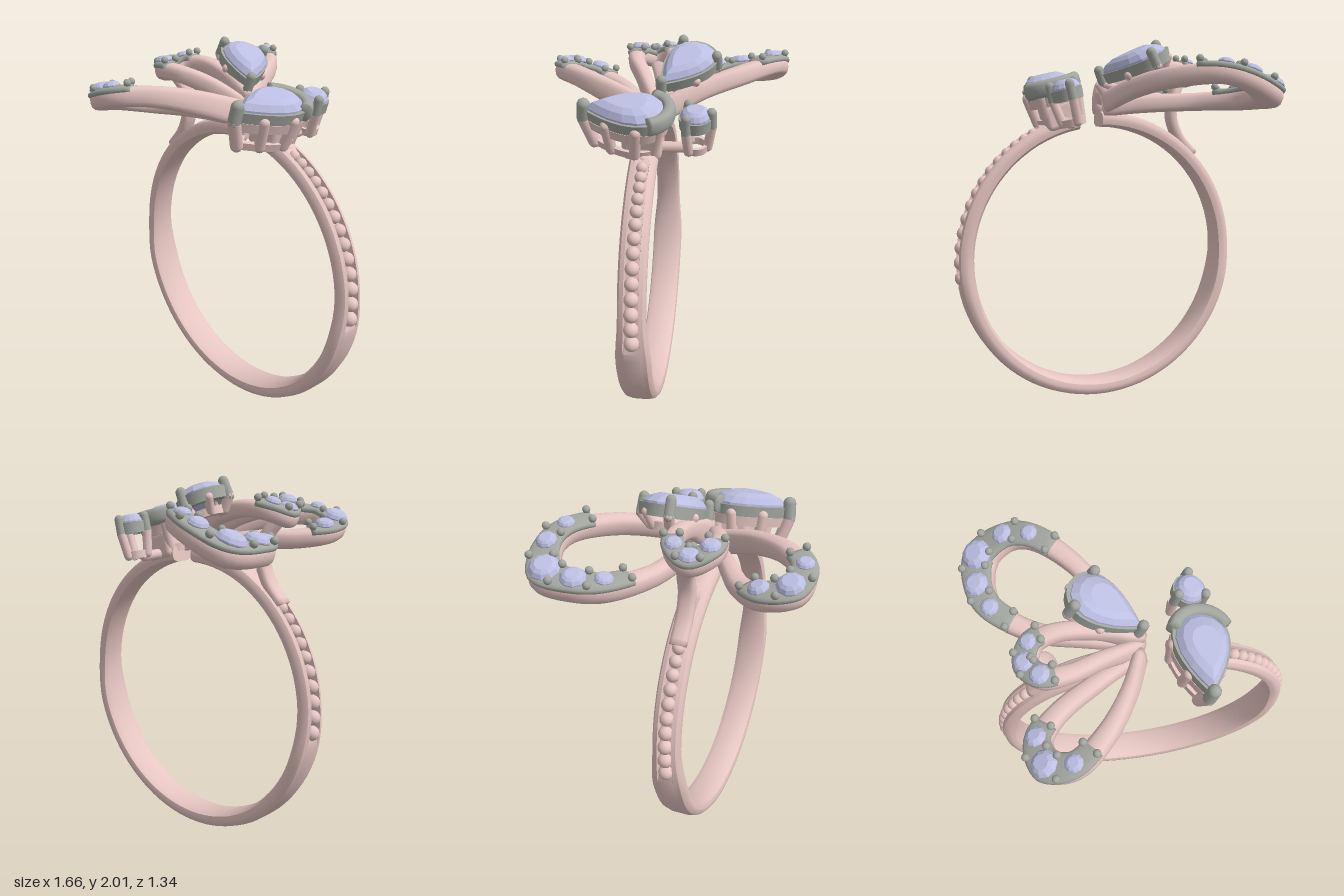
import * as THREE from 'three';
import { toCreasedNormals } from 'three/addons/utils/BufferGeometryUtils.js';
import { RoundedBoxGeometry } from 'three/addons/geometries/RoundedBoxGeometry.js';

const V = (x, y, z) => new THREE.Vector3(x, y, z);
const rose = new THREE.MeshStandardMaterial({ color: 0xe6c6c2 });
const grey = new THREE.MeshStandardMaterial({ color: 0xa3a69f });
const lilac = new THREE.MeshStandardMaterial({ color: 0xbcbfe2, flatShading: true });

function add(parent, name, geo, mat, pos) {
  const m = new THREE.Mesh(geo, mat);
  m.name = name;
  if (pos) m.position.copy(pos);
  parent.add(m);
  return m;
}

// Skin a list of equal-length vertex rings
function loft(rings, caps = true, crease = 0) {
  const n = rings[0].length, pts = rings.flat(), idx = [];
  for (let i = 0; i + 1 < rings.length; i++)
    for (let j = 0; j < n; j++) {
      const a = i * n + j, b = i * n + (j + 1) % n;
      idx.push(a, b, b + n, a, b + n, a + n);
    }
  if (caps) [0, rings.length - 1].forEach((r, end) => {
    const c = pts.length;
    pts.push(rings[r].reduce((s, p) => s.add(p), V(0, 0, 0)).divideScalar(n));
    for (let j = 0; j < n; j++) {
      const a = r * n + j, b = r * n + (j + 1) % n;
      end ? idx.push(c, a, b) : idx.push(c, b, a);
    }
  });
  const g = new THREE.BufferGeometry().setFromPoints(pts);
  g.setIndex(idx);
  g.computeVertexNormals();
  return crease ? toCreasedNormals(g, crease) : g;
}

// Side and normal directions on a curve
function frame(curve, t, up) {
  const T = curve.getTangent(t), S = up.clone().cross(T).normalize();
  return { P: curve.getPoint(t), S, N: T.clone().cross(S) };
}

// Rounded-box section swept along a curve; size(t) gives [halfWidth, halfHeight, lift]
function sweep(curve, up, size, t0 = 0, t1 = 1, steps = 48) {
  const rings = [], pw = v => Math.sign(v) * Math.abs(v) ** 0.75;
  for (let i = 0; i <= steps; i++) {
    const t = t0 + (t1 - t0) * i / steps, { P, S, N } = frame(curve, t, up), [w, h, o] = size(t);
    rings.push(Array.from({ length: 16 }, (_, j) => {
      const a = j * Math.PI / 8;
      return P.clone().addScaledVector(S, w * pw(Math.cos(a))).addScaledVector(N, h * pw(Math.sin(a)) + o);
    }));
  }
  return loft(rings);
}

// Stone outlines; the pear points along +z at a = 0
const round = r => a => [r * Math.sin(a), r * Math.cos(a)];
const pear = (w, l) => a => [w / 0.77 * Math.sin(a) * Math.abs(Math.sin(a / 2)), l * Math.cos(a)];
const outlineRing = (f, s, y, n) => Array.from({ length: n }, (_, j) => {
  const [x, z] = f(j * 2 * Math.PI / n);
  return V(x * s, y, z * s);
});
const gem = (f, h, n) => loft([[0.1, -h * 1.2], [0.7, -h * 0.6], [1, -h * 0.1], [1, 0.1 * h], [0.82, h * 0.65], [0.55, h]]
  .map(([s, y]) => outlineRing(f, s, y, n)));
const collar = (f, s0, s1, y0, y1) => loft([[s1 * 0.96, y0], [s1, y1], [s0, y1], [s0 * 0.96, y0], [s1 * 0.96, y0]]
  .map(([s, y]) => outlineRing(f, s, y, 32)), false, 0.7);

function bar(parent, name, a, b, r, mat) {
  const m = add(parent, name, new THREE.CapsuleGeometry(r, a.distanceTo(b), 4, 10), mat, a.clone().lerp(b, 0.5));
  m.quaternion.setFromUnitVectors(V(0, 1, 0), b.clone().sub(a).normalize());
}

// Gem in a collar over an open gallery of posts, held by prongs
function setting(root, name, pos, normal, tip, f, { h, depth, posts, prongs, r, lower = 0.8 }) {
  const g = new THREE.Group();
  g.name = name;
  g.position.copy(pos);
  const y = normal.clone().normalize(), x = y.clone().cross(tip).normalize();
  g.quaternion.setFromRotationMatrix(new THREE.Matrix4().makeBasis(x, y, x.clone().cross(y)));
  root.add(g);
  add(g, 'gem', gem(f, h, 16), lilac);
  add(g, 'collar', collar(f, 0.88, 1.1, -0.065, -0.005), grey);
  add(g, 'galleryRail', collar(f, lower * 0.72, lower, -depth, -depth + 0.04), rose);
  const at = (a, s, py) => { const [px, pz] = f(a); return V(px * s, py, pz * s); };
  for (const a of posts) bar(g, 'galleryPost', at(a, lower * 0.9, -depth + 0.02), at(a, 1, -0.05), r * 0.85, rose);
  for (const a of prongs) {
    bar(g, 'prongPost', at(a, lower * 0.95, -depth + 0.02), at(a, 1.08, -0.06), r, rose);
    bar(g, 'prong', at(a, 1.08, -0.06), at(a, 1.05, 0.02), r, grey);
  }
  return g;
}

// Petal loop: rows of [x, y, z, halfWidth, halfHeight, stoneRadius]
function petal(root, name, up, rows) {
  const g = new THREE.Group();
  g.name = name;
  root.add(g);
  up.normalize();
  const n = rows.length - 1;
  const curve = new THREE.CatmullRomCurve3(rows.map(r => V(r[0], r[1], r[2])));
  const size = t => {
    const i = Math.min(n - 1, Math.floor(t * n)), k = t * n - i;
    return [3, 4].map(c => rows[i][c] * (1 - k) + rows[i + 1][c] * k);
  };
  add(g, 'petalLoop', sweep(curve, up, t => [...size(t), 0], 0, 1, 64), rose);
  const set = rows.map((r, i) => i).filter(i => rows[i][5]);
  const t0 = (set[0] - 0.55) / n, t1 = (set.at(-1) + 0.55) / n;
  add(g, 'stoneBed', sweep(curve, up, t => { const [w, h] = size(t); return [w + 0.004, 0.022, h - 0.012]; }, t0, t1, 32), grey);
  for (const i of set) {
    const { P, S, N } = frame(curve, i / n, up), r = rows[i][5];
    const m = add(g, 'smallStone', gem(round(r), r * 0.45, 10), lilac, P.addScaledVector(N, rows[i][4] + 0.012));
    m.quaternion.setFromRotationMatrix(new THREE.Matrix4().makeBasis(S, N, S.clone().cross(N)));
  }
  // bead grips between neighbouring stones
  for (let i = set[0] - 0.5; i <= set.at(-1) + 0.5; i++) {
    const { P, S, N } = frame(curve, i / n, up), [w, h] = size(i / n);
    for (const s of [-1, 1])
      add(g, 'beadGrip', new THREE.SphereGeometry(0.02, 10, 8), grey,
        P.clone().addScaledVector(S, s * w * 0.78).addScaledVector(N, h + 0.02));
  }
}

export function createModel() {
  const root = new THREE.Group();
  root.name = 'ring';
  const CY = 0.815, R = 0.812, CZ = 0.042, deg = Math.PI / 180;
  const smooth = THREE.MathUtils.smoothstep;

  // Open band, grooved on the upper shoulders
  const rings = [];
  for (let i = 0; i <= 90; i++) {
    const th = (90 + 350 * i / 90) * deg, s = Math.sin(th), c = Math.cos(th);
    const w = 0.092 - 0.02 * smooth(s, -0.3, 0.1);
    const g = 0.035 * smooth(s, -0.15, -0.08) * (1 - smooth(s, 0.85, 0.9));
    const sec = [[-0.6, 0.728], [0.6, 0.728], [0.93, 0.742], [1, 0.765], [0.97, 0.785], [0.8, 0.803], [0.52, R - 0.003],
      [0.45, R - g], [-0.45, R - g], [-0.52, R - 0.003], [-0.8, 0.803], [-0.97, 0.785], [-1, 0.765], [-0.93, 0.742]];
    rings.push(sec.map(([z, r]) => V(r * c, CY + r * s, CZ + z * w)));
  }
  add(root, 'band', loft(rings, true, 0.6), rose);

  // Graduated beads in both grooves
  for (const side of [1, -1]) {
    let a = -5.5;
    for (let k = 0; k < (side > 0 ? 15 : 12); k++) {
      const r = 0.04 - k * 0.0008;
      add(root, 'shoulderBead', new THREE.SphereGeometry(r, 14, 10), rose,
        V(side * 0.79 * Math.cos(a * deg), CY + 0.79 * Math.sin(a * deg), CZ));
      a += 6.1 - k * 0.16;
    }
  }

  // Three petal loops
  petal(root, 'backPetal', V(-0.25, 1, 0), [
    [-0.02, 1.68, -0.02, 0.03, 0.06], [-0.13, 1.76, -0.2, 0.045, 0.055], [-0.27, 1.81, -0.41, 0.05, 0.055],
    [-0.45, 1.82, -0.57, 0.058, 0.05, 0.043], [-0.57, 1.785, -0.605, 0.065, 0.05, 0.052], [-0.71, 1.715, -0.555, 0.085, 0.055, 0.077],
    [-0.735, 1.7, -0.4, 0.07, 0.055, 0.063], [-0.69, 1.69, -0.275, 0.06, 0.055, 0.046],
    [-0.5, 1.68, -0.13, 0.05, 0.05], [-0.25, 1.67, -0.06, 0.045, 0.05], [-0.01, 1.64, 0, 0.03, 0.04]]);
  petal(root, 'middlePetal', V(-0.2, 1, 0), [
    [-0.01, 1.7, 0, 0.03, 0.08], [-0.2, 1.81, -0.03, 0.04, 0.05], [-0.4, 1.86, -0.03, 0.045, 0.045],
    [-0.51, 1.845, 0.005, 0.052, 0.045, 0.042], [-0.545, 1.81, 0.09, 0.06, 0.045, 0.053], [-0.48, 1.84, 0.175, 0.055, 0.045, 0.05],
    [-0.36, 1.84, 0.175, 0.045, 0.045], [-0.2, 1.79, 0.11, 0.04, 0.05], [-0.01, 1.67, 0.03, 0.03, 0.07]]);
  petal(root, 'frontPetal', V(-0.25, 1, 0.05), [
    [-0.01, 1.67, 0.07, 0.03, 0.07], [-0.1, 1.74, 0.28, 0.04, 0.065], [-0.23, 1.78, 0.47, 0.05, 0.055],
    [-0.38, 1.77, 0.59, 0.06, 0.05, 0.045], [-0.505, 1.73, 0.565, 0.078, 0.05, 0.068], [-0.54, 1.7, 0.435, 0.062, 0.05, 0.052],
    [-0.45, 1.68, 0.31, 0.052, 0.05], [-0.25, 1.67, 0.18, 0.045, 0.05], [-0.01, 1.63, 0.05, 0.03, 0.04]]);

  // Stem rising from the left shoulder to the petals
  add(root, 'petalStem', sweep(new THREE.CatmullRomCurve3(
    [V(-0.58, 1.38, CZ), V(-0.49, 1.48, CZ), V(-0.445, 1.6, CZ), V(-0.46, 1.71, CZ), V(-0.51, 1.8, CZ + 0.03)]),
    V(0, 0, 1), () => [0.03, 0.045, 0], 0, 1, 20), rose);

  // Tilted pear stone over the petals
  setting(root, 'upperPear', V(-0.14, 1.9, -0.115), V(0.42, 0.9, 0), V(0.8, -0.37, 0.58), pear(0.122, 0.185),
    { h: 0.05, depth: 0.13, posts: [1.4, -1.4, Math.PI], prongs: [0, 2.3, -2.3], r: 0.027 });

  // Large pear stone on the right end of the band
  const tilt = V(0.25, 0.97, 0), f = pear(0.132, 0.2);
  const big = setting(root, 'largePear', V(0.285, 1.775, 0.135), tilt, V(0, 0, 1), f,
    { h: 0.055, depth: 0.215, posts: [1.1, -1.1, 1.9, -1.9, 2.6, -2.6], prongs: [0], r: 0.034, lower: 0.9 });
  add(big, 'skirt', collar(f, 0.9, 1.08, -0.11, -0.06), rose);
  const clasp = new THREE.CatmullRomCurve3(Array.from({ length: 9 }, (_, i) => {
    const [x, z] = f(Math.PI * (0.7 + 0.6 * i / 8));
    return V(x * 1.08, -0.01, z * 1.08);
  }));
  add(big, 'clasp', sweep(clasp, V(0, 1, 0), () => [0.033, 0.045, 0], 0, 1, 20), grey);
  const seat = add(root, 'stoneSeat', new RoundedBoxGeometry(0.18, 0.15, 0.2, 3, 0.03), rose, V(0.245, 1.61, 0.055));
  seat.rotation.z = -0.28;

  // Small round stone behind it, joined by a bridge
  setting(root, 'roundStone', V(0.275, 1.755, -0.21), tilt, V(0, 0, 1), round(0.076),
    { h: 0.04, depth: 0.2, posts: [], prongs: [Math.PI, 1.05, -1.05], r: 0.025, lower: 0.85 });
  bar(root, 'bridge', V(0.225, 1.57, -0.16), V(0.235, 1.57, 0), 0.028, rose);

  return root;
}
